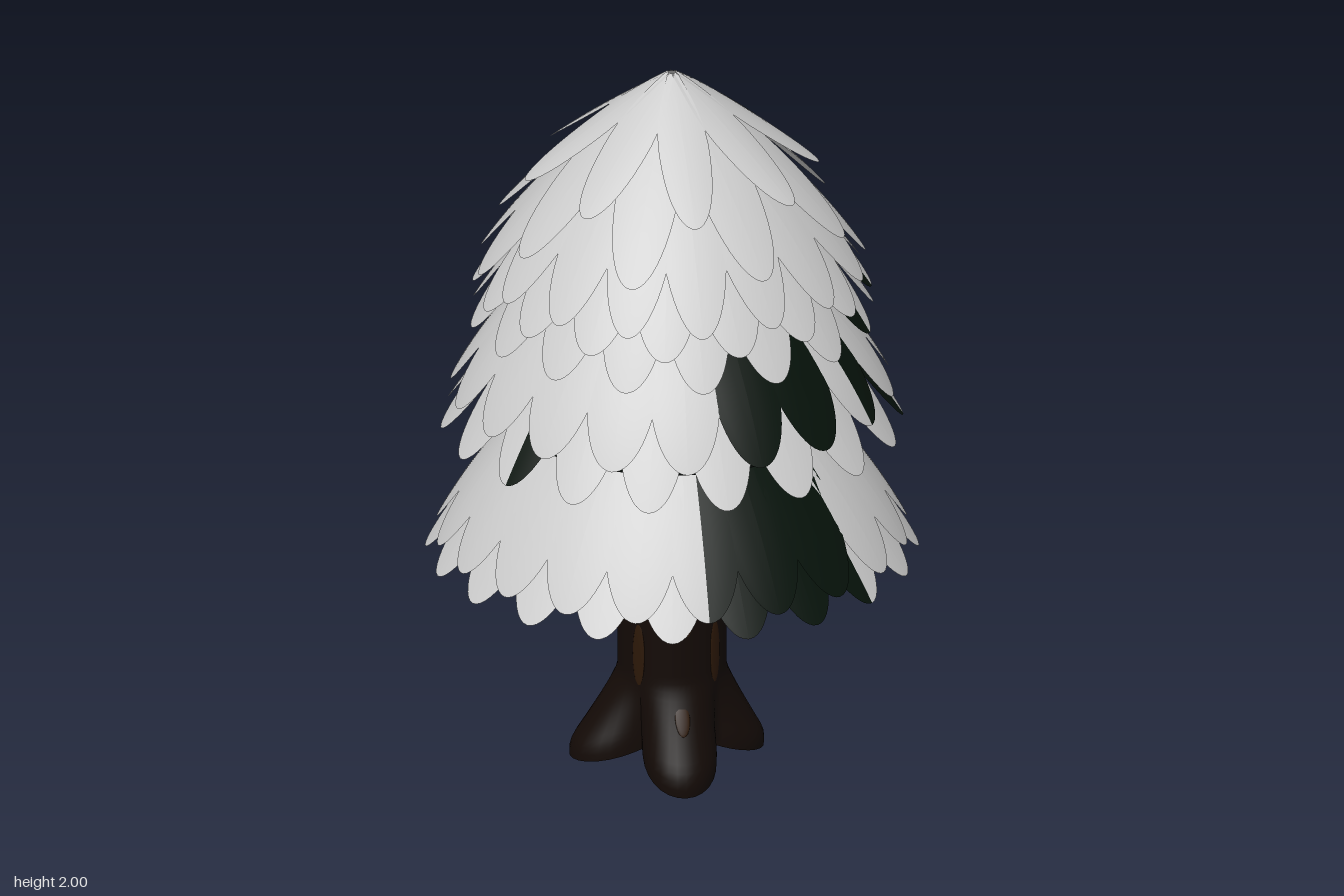
import * as THREE from 'three';
import { mergeGeometries } from 'three/addons/utils/BufferGeometryUtils.js';

const RAD = Math.PI / 180;
const snow = new THREE.MeshStandardMaterial({ color: 0xcccccc, side: THREE.DoubleSide });
const green = new THREE.MeshStandardMaterial({ color: 0x06120a, side: THREE.DoubleSide });
const bark = new THREE.MeshStandardMaterial({ color: 0x130a06 });
const streak = new THREE.MeshStandardMaterial({ color: 0x2c1808 });

// Leaf rings: profile points [radius, y] from root to tip, outward bow, half width,
// count, angular offset in steps, and ranges of degrees (from +x towards +z) left green
const rings = [
  { name: 'crownLeaves', from: [0.01, 2.0], to: [0.395, 1.715], bow: 0.008, w: 0.068, n: 8, off: 0, green: [[-90, -67]] },
  { name: 'crownUnderLeaves', from: [0.025, 1.97], to: [0.47, 1.57], bow: 0.025, w: 0.085, n: 8, off: 0.5, green: [[-160, -140], [-112, -90]] },
  { name: 'upperLeaves', from: [0.05, 1.93], to: [0.52, 1.45], bow: 0.035, w: 0.088, n: 16, off: 0, green: [[-150, -135], [-125, -90], [-72, -64]] },
  { name: 'upperMiddleLeaves', from: [0.2, 1.75], to: [0.53, 1.39], bow: 0.02, w: 0.085, n: 16, off: 0.5, green: [[-125, -100], [-35, -22]] },
  { name: 'upperHemLeaves', from: [0.25, 1.68], to: [0.54, 1.3], bow: 0.015, w: 0.085, n: 16, off: 0, green: [[-24, -12], [-160, -146]] },
  { name: 'middleLeaves', from: [0.28, 1.48], to: [0.59, 1.09], bow: 0.025, w: 0.095, n: 18, off: 0.5, green: [[0, 42], [-20, -8], [-64, -58]] },
  { name: 'middleHemLeaves', from: [0.28, 1.42], to: [0.615, 0.99], bow: 0.015, w: 0.09, n: 18, off: 0, green: [[-42, -28], [92, 100]] },
  { name: 'lowerLeaves', from: [0.26, 1.14], to: [0.63, 0.675], bow: 0.028, w: 0.102, n: 20, off: 0.5, green: [[0, 42]] },
  { name: 'lowerHemLeaves', from: [0.26, 1.11], to: [0.655, 0.63], bow: 0.02, w: 0.1, n: 20, off: 0, green: [[0, 42]] },
];

// One half of an oval leaf lying along the ring's slope (side -1 or 1)
function halfLeaf(ring, angle, side) {
  const rows = 18, cols = 4, pos = [], index = [];
  const [r0, y0] = ring.from, [r1, y1] = ring.to;
  const len = Math.hypot(r1 - r0, y1 - y0);
  const c = Math.cos(angle), s = Math.sin(angle);
  for (let i = 0; i <= rows; i++) {
    const v = 1 - (1 - i / rows) ** 1.9;
    const width = ring.w * (v > 0.5
      ? Math.sqrt(Math.max(0, 1 - ((v - 0.5) / 0.5) ** 2.3))
      : 0.2 + 0.8 * Math.sin(Math.PI * v));
    const bulge = 4 * ring.bow * v * (1 - v);
    for (let j = 0; j <= cols; j++) {
      const u = side < 0 ? j / cols - 1 : j / cols;
      // edges droop with the leaf's width, so the rounded tip stays flat
      const out = bulge - 0.009 * (u * width / ring.w) ** 2;
      const r = r0 + (r1 - r0) * v + out * (y0 - y1) / len;
      const y = y0 + (y1 - y0) * v + out * (r1 - r0) / len;
      pos.push(c * r - s * width * u, y, s * r + c * width * u);
      if (i < rows && j < cols) {
        const a = i * (cols + 1) + j, b = a + cols + 1;
        index.push(a, a + 1, b, b, a + 1, b + 1);
      }
    }
  }
  const g = new THREE.BufferGeometry();
  g.setAttribute('position', new THREE.Float32BufferAttribute(pos, 3));
  g.setIndex(index);
  g.computeVertexNormals();
  return g;
}

function leafRing(ring) {
  const group = new THREE.Group();
  group.name = ring.name;
  const snowy = [], bare = [];
  for (let k = 0; k < ring.n; k++) {
    const deg = ((k + ring.off) * 360) / ring.n;
    for (const side of [-1, 1]) {
      let mid = deg + (side * 90) / ring.n;
      if (mid > 180) mid -= 360;
      const isBare = ring.green.some(([a, b]) => mid >= a && mid <= b);
      (isBare ? bare : snowy).push(halfLeaf(ring, deg * RAD, side));
    }
  }
  const add = (list, material, name) => {
    const mesh = new THREE.Mesh(mergeGeometries(list), material);
    mesh.name = name;
    group.add(mesh);
  };
  add(snowy, snow, 'snowyLeaves');
  add(bare, green, 'greenLeaves');
  return group;
}

// Solid cone with a rounded rim inside each tier
function tierCore(name, y, r, topR, topY) {
  const points = [[0, y], [r - 0.05, y], [r - 0.015, y + 0.006], [r, y + 0.025], [r - 0.012, y + 0.06], [topR, topY], [0, topY]];
  const mesh = new THREE.Mesh(new THREE.LatheGeometry(points.map(p => new THREE.Vector2(...p)), 48), green);
  mesh.name = name;
  return mesh;
}

// Four stout roots spread along the diagonals near the ground, rounded off at the toes
const lobeAt = a => Math.abs(Math.sin(2 * a)) ** 1.1;
function trunkRadius(a, y) {
  const t = THREE.MathUtils.clamp((0.28 - y) / 0.28, 0, 1);
  const toe = Math.max(0, (t - 0.75) / 0.25);
  const reach = Math.cos(a) < 0 ? 0.165 : 0.135;
  return 0.145 + lobeAt(a) * (reach * t ** 1.1 - 0.025 * toe ** 2) - 0.01 * t;
}

function trunk() {
  const g = new THREE.CylinderGeometry(1, 1, 1.1, 64, 50);
  const p = g.attributes.position;
  for (let i = 0; i < p.count; i++) {
    const x = p.getX(i), z = p.getZ(i), a = Math.atan2(z, x), y = p.getY(i) + 0.55;
    const rim = Math.min(1, Math.hypot(x, z));
    // the front-left root reaches the ground, the others stop higher
    const floor = 0.085 - lobeAt(a) * rim * (x > 0 && z > 0 ? 0.085 : 0.045);
    const r = rim * trunkRadius(a, y);
    p.setXYZ(i, Math.cos(a) * r, y + floor * Math.max(0, 1 - y / 0.3), Math.sin(a) * r);
  }
  g.computeVertexNormals();
  const mesh = new THREE.Mesh(g, bark);
  mesh.name = 'trunk';
  return mesh;
}

// Slim flat marks on the bark, leaning with the roots lower down
function barkStreaks() {
  const group = new THREE.Group();
  group.name = 'barkStreaks';
  for (let q = 0; q < 4; q++) {
    for (const [deg, y, h, lean] of [[-30, 0.51, 0.08, 0], [38, 0.5, 0.08, 0], [2, 0.36, 0.09, 0], [45, 0.2, 0.05, 0.5]]) {
      const a = (q * 90 + deg) * RAD, r = trunkRadius(a, y) - 0.001;
      const mesh = new THREE.Mesh(new THREE.SphereGeometry(1, 12, 10), streak);
      mesh.scale.set(0.004, h, 0.02);
      mesh.position.set(Math.cos(a) * r, y, Math.sin(a) * r);
      mesh.rotation.set(0, -a, lean);
      mesh.name = 'barkStreak';
      group.add(mesh);
    }
  }
  return group;
}

export function createModel() {
  const tree = new THREE.Group();
  tree.name = 'snowyTree';
  tree.add(trunk(), barkStreaks());
  tree.add(
    tierCore('lowerCore', 0.64, 0.53, 0.2, 1.1),
    tierCore('middleCore', 1.02, 0.46, 0.2, 1.43),
    tierCore('upperCore', 1.355, 0.39, 0.02, 1.89),
  );
  for (const ring of rings) tree.add(leafRing(ring));
  return tree;
}
